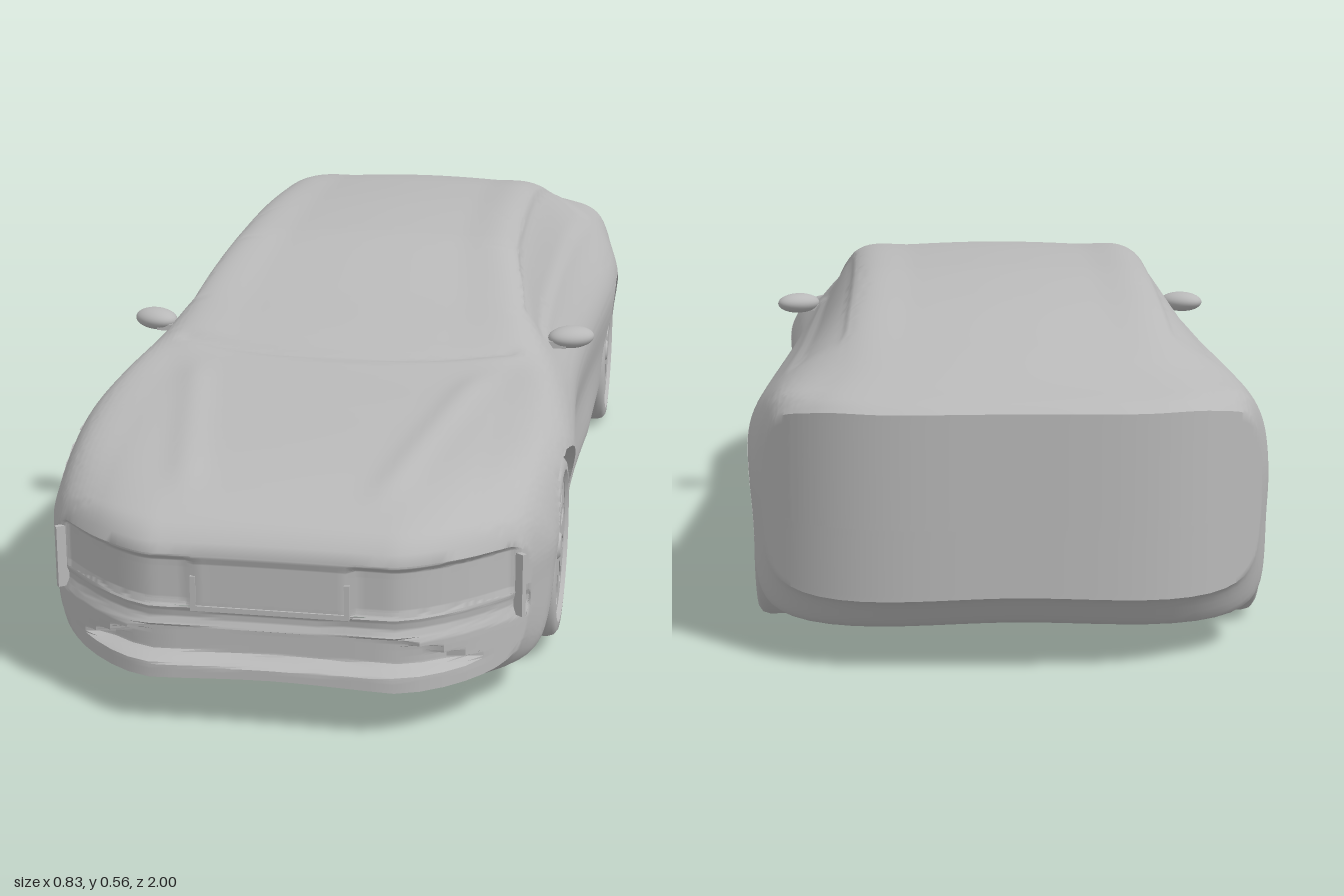
import * as THREE from 'three';
import { toCreasedNormals } from 'three/addons/utils/BufferGeometryUtils.js';

const paint = new THREE.MeshStandardMaterial({ color: 0xb8b8b8 });
paint.name = 'grey paint';

const WHEELS = [{ z: 0.59, y: 0.172 }, { z: -0.61, y: 0.15 }];
const ARCH = 0.163;
const step = (a, b, v) => THREE.MathUtils.smoothstep(v, a, b);
const band = (a, b, e, v) => step(a - e, a + e, v) * (1 - step(b - e, b + e, v));
const bump = (v, w) => Math.exp(-(v * v) / (w * w));

// Smooth curve along z that never overshoots its [z, value] points
function along(points) {
  const last = points.length - 1;
  const slope = (k) => (points[k + 1][1] - points[k][1]) / (points[k + 1][0] - points[k][0]);
  const tangent = (k) => {
    if (k === 0) return slope(0);
    if (k === last) return slope(last - 1);
    const a = slope(k - 1), b = slope(k);
    return a * b <= 0 ? 0 : (2 * a * b) / (a + b);
  };
  return (z) => {
    let i = 0;
    while (i < last - 1 && z > points[i + 1][0]) i++;
    const [z0, v0] = points[i], [z1, v1] = points[i + 1];
    const h = z1 - z0, t = (z - z0) / h, u = 1 - t;
    return (1 + 2 * t) * u * u * v0 + t * u * u * h * tangent(i)
      + t * t * (3 - 2 * t) * v1 - t * t * u * h * tangent(i + 1);
  };
}

// Centre line height, roof or bonnet edge, belt and greatest half-width, from tail to nose
const topY = along([[-1, 0.392], [-0.98, 0.404], [-0.93, 0.42], [-0.8, 0.465], [-0.6, 0.521], [-0.4, 0.55],
  [-0.2, 0.558], [0, 0.549], [0.2, 0.491], [0.34, 0.426], [0.4, 0.412], [0.6, 0.392], [0.8, 0.369],
  [0.96, 0.325], [0.985, 0.307], [1, 0.286]]);
const edgeX = along([[-1, 0.295], [-0.8, 0.245], [-0.5, 0.239], [0, 0.252], [0.2, 0.285], [0.34, 0.3],
  [0.4, 0.28], [1, 0.28]]);
const beltX = along([[-1, 0.355], [-0.8, 0.357], [-0.4, 0.342], [0.1, 0.337], [0.34, 0.352], [0.6, 0.37],
  [1, 0.358]]);
const beltY = along([[-1, 0.368], [-0.93, 0.393], [-0.2, 0.412], [0.34, 0.398], [0.6, 0.373], [0.8, 0.348],
  [0.96, 0.302], [1, 0.272]]);
const wideX = along([[-1, 0.375], [-0.93, 0.395], [-0.62, 0.41], [0.1, 0.385], [0.62, 0.41], [0.9, 0.4],
  [1, 0.37]]);

// Half section from floor centre up to roof centre; window glass is pressed in
const SEGMENTS = [10, 3, 18, 16, 10, 16, 10, 12];
function halfSection(z) {
  const top = topY(z), edge = edgeX(z), wide = wideX(z), ends = Math.abs(z);
  const drop = 0.005 + 0.008 * band(-0.9, 0.32, 0.06, z);
  const floor = 0.065 + 0.025 * step(0.9, 1, z) + 0.055 * step(0.93, 1, -z);
  const sill = Math.min(wide - 0.012, 0.383);
  const door = wide - 0.012 * (1 - step(0.2, 0.95, ends));
  const wideY = 0.325 - 0.075 * step(0.5, 1, z) - 0.035 * step(0.7, 1, -z);
  const pts = [[0, floor], [sill - 0.03, floor], [sill, floor + 0.025], [door, 0.2], [wide, wideY],
    [beltX(z), beltY(z)], [edge, top - drop], [edge * 0.6, top - 0.36 * drop], [0, top],
    [-edge * 0.6, top - 0.36 * drop]];
  const curve = new THREE.CatmullRomCurve3(pts.map(([x, y]) => new THREE.Vector3(x, y, 0)));
  const out = [];
  SEGMENTS.forEach((count, s) => {
    for (let k = 0; k < count; k++) {
      const p = curve.getPoint((s + k / count) / (pts.length - 1));
      if (s === 5) p.x -= 0.009 * band(0.16, 0.84, 0.08, k / count) * band(-0.74, 0.22, 0.04, z);
      out.push(p);
    }
  });
  out.push(new THREE.Vector3(0, top, 0));
  return out;
}

// Bends the nose and tail in plan, presses in the nose openings and cuts the wheel arches
function shape(p, front) {
  const x = Math.abs(p.x), z0 = p.z;
  if (front) {
    const intake = band(0.112, 0.163, 0.006, p.y) * (1 - step(-0.01, 0.01, x - (0.3 - 2 * (p.y - 0.112))));
    const lamp = band(0.2, 0.276, 0.006, p.y) * band(0.12, 0.35, 0.008, x);
    const plate = band(0.2, 0.276, 0.006, p.y) * (1 - step(0.11, 0.122, x));
    p.z -= 0.03 * intake + 0.012 * lamp + 0.004 * plate + 0.01 * band(0.17, 0.196, 0.01, p.y);
  }
  if (z0 > 0.3) p.z -= ((z0 - 0.3) / 0.7) ** 2 * 0.19 * (Math.max(0, x - 0.18) / 0.22) ** 1.5;
  if (z0 < -0.4) p.z += ((-0.4 - z0) / 0.6) ** 2 * 0.17 * (x / 0.4) ** 4;
  // bonnet ridges and the gap under the windscreen
  if (p.y > 0.3 && z0 > 0.3) {
    p.y += 0.006 * bump(x - (0.33 - 0.2 * z0), 0.025) * band(0.45, 0.88, 0.06, z0);
    p.y -= 0.007 * bump(z0 - (0.385 - 0.6 * x * x), 0.012) * (1 - step(0.28, 0.31, x));
  }
  for (const w of WHEELS) {
    const dz = p.z - w.z, dy = p.y - w.y, d = Math.hypot(dz, dy);
    if (x < 0.33 || d > ARCH + 0.006) continue;
    if (d > ARCH - 0.006) {
      p.z = w.z + (dz * ARCH) / d;
      p.y = w.y + (dy * ARCH) / d;
    } else p.x = Math.sign(p.x) * Math.min(x, 0.362);
  }
  return p;
}

function bodyGeometry() {
  const rings = [], CAP = 34, STEPS = 200;
  const addRing = (z, k, midY, front) => {
    const half = halfSection(z);
    const full = half.concat(half.slice(1, -1).reverse().map((p) => new THREE.Vector3(-p.x, p.y, 0)));
    rings.push(full.map((p) => shape(p.set(p.x, midY + k * (p.y - midY), z), front)));
  };
  for (let i = 0; i < CAP; i++) addRing(1, i / CAP, 0.2, true);
  for (let i = 0; i <= STEPS; i++) addRing(1 - (2 * i) / STEPS, 1, 0, i === 0);
  for (let i = 11; i >= 0; i--) addRing(-1, i / 12, 0.22, false);

  const n = rings[0].length, index = [];
  for (let i = 0; i < rings.length - 1; i++) {
    for (let j = 0; j < n; j++) {
      const a = i * n + j, b = i * n + ((j + 1) % n);
      index.push(a, a + n, b, b, a + n, b + n);
    }
  }
  const geo = new THREE.BufferGeometry().setFromPoints(rings.flat());
  geo.setIndex(index);
  return toCreasedNormals(geo, 0.7);
}

function mesh(name, geo) {
  const m = new THREE.Mesh(geo, paint);
  m.name = name;
  return m;
}

// Wheel with its outer face towards +x
function wheel() {
  const g = new THREE.Group();
  const profile = [[0.09, -0.053], [0.136, -0.053], [0.145, -0.046], [0.148, -0.035], [0.148, 0.035],
    [0.145, 0.045], [0.137, 0.051], [0.124, 0.052], [0.117, 0.046], [0.115, 0.02]];
  const tyre = new THREE.LatheGeometry(profile.map(([r, y]) => new THREE.Vector2(r, y)), 56);
  g.add(mesh('tyre', toCreasedNormals(tyre.rotateZ(-Math.PI / 2), 0.7)));

  // ten tapered openings leave the spokes between them
  const face = new THREE.Shape().absarc(0, 0, 0.118, 0, Math.PI * 2);
  for (let i = 0; i < 10; i++) {
    const a = (i + 0.5) * Math.PI / 5, hole = [];
    for (let k = 0; k < 16; k++) {
      const t = (k / 16) * Math.PI * 2;
      const u = 0.078 + 0.028 * Math.cos(t), v = (0.012 + 0.004 * Math.cos(t)) * Math.sin(t);
      hole.push(new THREE.Vector2(u * Math.cos(a) - v * Math.sin(a), u * Math.sin(a) + v * Math.cos(a)));
    }
    face.holes.push(new THREE.Path(hole));
  }
  const spokes = new THREE.ExtrudeGeometry(face, { depth: 0.014, bevelEnabled: false, curveSegments: 40 });
  g.add(mesh('spokes', spokes.rotateY(Math.PI / 2).translate(0.031, 0, 0)));
  const back = new THREE.CylinderGeometry(0.118, 0.118, 0.07, 40).rotateZ(-Math.PI / 2);
  g.add(mesh('rimBack', back.translate(-0.012, 0, 0)));
  const hub = new THREE.CylinderGeometry(0.018, 0.024, 0.006, 24).rotateZ(-Math.PI / 2);
  g.add(mesh('hub', hub.translate(0.047, 0, 0)));
  return g;
}

export function createModel() {
  const car = new THREE.Group();
  car.name = 'car';
  car.add(mesh('body', bodyGeometry()));

  for (const side of [1, -1]) {
    WHEELS.forEach((w, i) => {
      const g = wheel();
      g.name = (i ? 'rear' : 'front') + (side > 0 ? 'Left' : 'Right') + 'Wheel';
      g.position.set(side * 0.348, w.y, w.z);
      if (side < 0) g.rotation.y = Math.PI;
      car.add(g);
    });

    // door mirror
    const mirror = new THREE.Group();
    mirror.name = side > 0 ? 'leftMirror' : 'rightMirror';
    const shell = mesh('mirrorShell', new THREE.SphereGeometry(1, 28, 18));
    shell.scale.set(0.042, 0.019, 0.03);
    shell.position.set(side * 0.377, 0.411, 0.195);
    shell.rotation.y = side * 0.45;
    const stalk = mesh('mirrorStalk', new THREE.BoxGeometry(0.05, 0.012, 0.03));
    stalk.position.set(side * 0.345, 0.402, 0.207);
    mirror.add(shell, stalk);
    car.add(mirror);

    // upright air slot at the nose corner
    const slot = mesh('noseSlot', new THREE.BoxGeometry(0.008, 0.1, 0.02));
    slot.position.set(side * 0.357, 0.215, 0.865);
    slot.rotation.y = side * 0.9;
    car.add(slot);
  }

  // frame around the number plate recess
  const frame = new THREE.Shape([[-0.12, 0.195], [0.12, 0.195], [0.12, 0.25], [0.112, 0.25], [0.112, 0.203],
    [-0.112, 0.203], [-0.112, 0.25], [-0.12, 0.25]].map(([x, y]) => new THREE.Vector2(x, y)));
  const plateFrame = mesh('plateFrame', new THREE.ExtrudeGeometry(frame, { depth: 0.009, bevelEnabled: false }));
  plateFrame.position.z = 0.99;
  car.add(plateFrame);
  return car;
}
